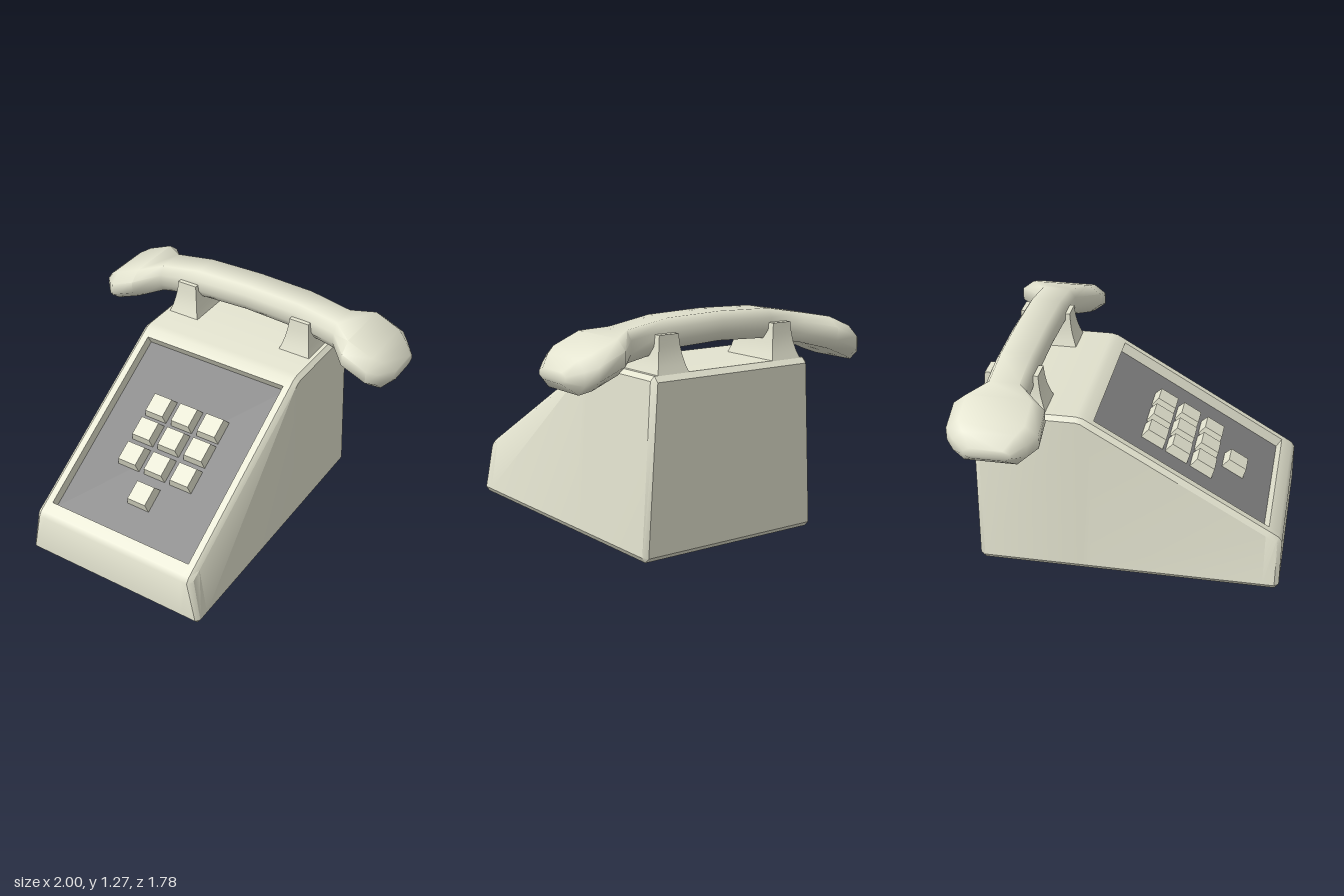
import * as THREE from 'three';
import { toCreasedNormals } from 'three/addons/utils/BufferGeometryUtils.js';

const cream = new THREE.MeshStandardMaterial({ color: 0xe4e4d0 });
const grey = new THREE.MeshStandardMaterial({ color: 0x808080 });

// Collects quads (counter-clockwise corners), dropping collapsed triangles
function builder() {
  const pos = [];
  const tri = (a, b, c) => {
    const t = new THREE.Triangle(...[a, b, c].map((p) => new THREE.Vector3(...p)));
    if (t.getArea() > 1e-7) pos.push(...a, ...b, ...c);
  };
  const quad = (a, b, c, d) => { tri(a, b, c); tri(a, c, d); };
  // Joins two rings, the first at lower x; rings run clockwise seen from +x
  const join = (r, s, skip = -1) => r.forEach((p, i) => {
    const j = (i + 1) % r.length;
    if (i !== skip) quad(p, s[i], s[j], r[j]);
  });
  const geometry = (crease) => {
    const g = new THREE.BufferGeometry();
    g.setAttribute('position', new THREE.Float32BufferAttribute(pos, 3));
    return toCreasedNormals(g, crease);
  };
  return { quad, join, geometry };
}

function mesh(name, geometry, material = cream) {
  const m = new THREE.Mesh(geometry, material);
  m.name = name;
  return m;
}

// Side profiles as [z, y]: full outline and the inset outline of the bevelled sides
const outline = [
  [0.865, 0], [0.89, 0.03], [0.89, 0.29], [0.87, 0.32], [0.81, 0.356], [-0.19, 0.95],
  [-0.24, 0.98], [-0.28, 0.99], [-0.84, 0.99], [-0.87, 0.96], [-0.87, 0.03], [-0.84, 0],
];
const inset = [
  [0.865, 0.03], [0.865, 0.03], [0.865, 0.29], [0.857, 0.301], [0.797, 0.334], [-0.203, 0.928],
  [-0.252, 0.958], [-0.28, 0.965], [-0.84, 0.965], [-0.84, 0.965], [-0.84, 0.03], [-0.84, 0.03],
];
const recessX = 0.47;
const floorFront = [0.777, 0.301], floorBack = [-0.223, 0.895];

function housing() {
  const b = builder();
  const isBase = (i) => i < 2 || i > 9;
  const ring = (profile, top, base) =>
    profile.map(([z, y], i) => [isBase(i) ? base : top, y, z]);
  const rings = [
    ring(inset, -0.535, -0.585), ring(outline, -0.51, -0.565), ring(outline, -recessX, -recessX),
    ring(outline, recessX, recessX), ring(outline, 0.51, 0.565), ring(inset, 0.535, 0.585),
  ];
  for (let k = 0; k < 5; k++) b.join(rings[k], rings[k + 1], k === 2 ? 4 : -1);

  // Flat sides, leaning outward to the base
  for (let i = 2; i < 9; i++) {
    for (const s of [1, -1]) {
      const [z0, y0] = inset[i], [z1, y1] = inset[i + 1];
      const q = [[s * 0.585, 0.03, z0], [s * 0.585, 0.03, z1], [s * 0.535, y1, z1], [s * 0.535, y0, z0]];
      b.quad(...(s > 0 ? q : q.reverse()));
    }
  }

  // Walls of the keypad recess
  const at = (x, [z, y]) => [x, y, z];
  const wall = [outline[4], floorFront, floorBack, outline[5]];
  for (const i of [0, 2]) {
    b.quad(at(-recessX, wall[i]), at(recessX, wall[i]), at(recessX, wall[i + 1]), at(-recessX, wall[i + 1]));
  }
  b.quad(...wall.map((p) => at(-recessX, p)));
  b.quad(...wall.map((p) => at(recessX, p)).reverse());
  return mesh('housing', b.geometry(0.6));
}

function keypadPanel() {
  const b = builder();
  const [z0, y0] = floorFront, [z1, y1] = floorBack;
  b.quad([-recessX, y0, z0], [recessX, y0, z0], [recessX, y1, z1], [-recessX, y1, z1]);
  return mesh('keypadPanel', b.geometry(0.5), grey);
}

// Tapered keys: three rows of three and one below
function keys() {
  const group = new THREE.Group();
  group.name = 'keys';
  const h = 0.058;
  const geo = new THREE.BoxGeometry(0.145, h, 0.145).translate(0, h / 2, 0);
  const p = geo.attributes.position;
  for (let i = 0; i < p.count; i++) {
    if (p.getY(i) > 0.01) p.setXYZ(i, p.getX(i) * 0.82, h, p.getZ(i) * 0.82);
  }
  const keyGeo = toCreasedNormals(geo, 0.3);
  const slope = (floorBack[1] - floorFront[1]) / (floorFront[0] - floorBack[0]);
  [0.1, 0.24, 0.385, 0.553].forEach((z, row) => {
    for (const x of row < 3 ? [-0.18, 0, 0.18] : [0]) {
      const key = mesh('key', keyGeo);
      key.position.set(x, floorFront[1] + (floorFront[0] - z) * slope, z);
      key.rotation.x = Math.atan(slope);
      group.add(key);
    }
  });
  return group;
}

// Flared cradle post: half sizes [x, z] at rising levels
function cradlePost(x) {
  const levels = [
    [0.98, 0.104, 0.195], [1.03, 0.087, 0.177], [1.08, 0.076, 0.163], [1.13, 0.068, 0.155], [1.19, 0.062, 0.15],
  ];
  const geo = new THREE.BoxGeometry(2, 4, 2, 1, 4, 1);
  const p = geo.attributes.position;
  for (let i = 0; i < p.count; i++) {
    const [y, hx, hz] = levels[Math.round(p.getY(i) + 2)];
    p.setXYZ(i, p.getX(i) * hx, y, p.getZ(i) * hz);
  }
  const post = mesh('cradlePost', toCreasedNormals(geo, 0.5));
  post.position.set(x, 0, -0.65);
  return post;
}

// Arched handset with wide faceted ends: stations [x, top, bottom, half width]
function handset() {
  const half = [
    [0, 1.275, 1.115, 0.118], [0.345, 1.265, 1.1, 0.118], [0.6, 1.222, 1.05, 0.118],
    [0.725, 1.2, 1.015, 0.25], [0.88, 1.135, 0.952, 0.25], [0.935, 1.105, 0.93, 0.2],
    [1, 1.045, 0.985, 0.125],
  ];
  const section = [[0.72, -1], [1, -0.4], [1, 0.4], [0.72, 1], [-0.72, 1], [-1, 0.4], [-1, -0.4], [-0.72, -1]];
  const stations = [...half.slice(1).reverse().map(([x, ...r]) => [-x, ...r]), ...half];
  const rings = stations.map(([x, top, bottom, w]) => section.map(([u, v]) =>
    [x, (top + bottom) / 2 + v * (top - bottom) / 2, -0.645 + u * w]));
  const b = builder();
  for (let i = 0; i + 1 < rings.length; i++) b.join(rings[i], rings[i + 1]);
  // End caps
  for (const r of [rings[0], [...rings[rings.length - 1]].reverse()]) {
    for (let i = 0; i < 3; i++) b.quad(r[i], r[i + 1], r[6 - i], r[7 - i]);
  }
  return mesh('handset', b.geometry(1.2));
}

export function createModel() {
  const model = new THREE.Group();
  model.name = 'deskTelephone';
  model.add(housing(), keypadPanel(), keys(), cradlePost(0.388), cradlePost(-0.388), handset());
  return model;
}
